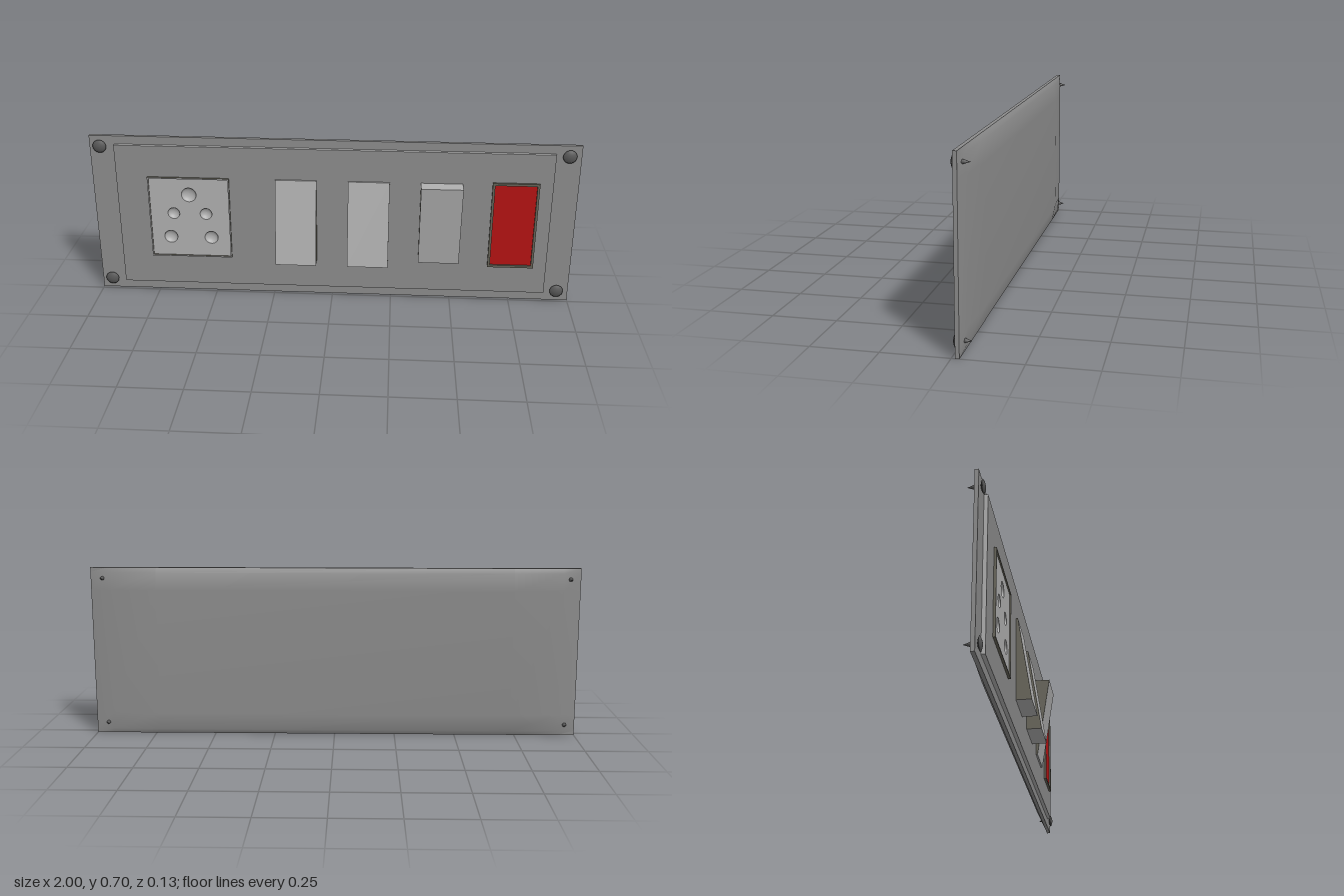
import * as THREE from 'three';

const mat = (color) => new THREE.MeshStandardMaterial({ color });

// Rectangle outline with optional round holes [x, y, r]
function rect(x0, x1, y0, y1, holes = []) {
  const s = new THREE.Shape();
  s.moveTo(x0, y0).lineTo(x1, y0).lineTo(x1, y1).lineTo(x0, y1).closePath();
  for (const [x, y, r] of holes) s.holes.push(new THREE.Path().absarc(x, y, r, 0, Math.PI * 2, true));
  return s;
}

// Rectangular frame of the given width
function frame(x0, x1, y0, y1, w) {
  const s = rect(x0, x1, y0, y1);
  s.holes.push(rect(x0 + w, x1 - w, y0 + w, y1 - w));
  return s;
}

function slab(shape, z0, z1) {
  const g = new THREE.ExtrudeGeometry(shape, { depth: z1 - z0, bevelEnabled: false, curveSegments: 16 });
  return g.translate(0, 0, z0);
}

// Profile of [radius, z] points turned about the z axis
function turned(points, segments = 24) {
  const profile = points.map(([r, z]) => new THREE.Vector2(r, z));
  return new THREE.LatheGeometry(profile, segments).rotateX(Math.PI / 2);
}

// Shallow bulging back: flat middle, rounding off towards the edges
function backGeometry() {
  const rise = [0, 0.48, 1, 1, 0.48, 0];
  const xs = [-1, -0.93, -0.73, 0.73, 0.93, 1];
  const ys = [0, 0.02, 0.09, 0.61, 0.68, 0.7];
  const pos = [], idx = [];
  ys.forEach((y, j) => xs.forEach((x, i) => pos.push(x, y, -0.028 - 0.026 * rise[i] * rise[j])));
  for (let j = 0; j < 5; j++) for (let i = 0; i < 5; i++) {
    const a = j * 6 + i, b = a + 1, c = a + 6, d = a + 7;
    idx.push(a, c, b, b, c, d);
  }
  const g = new THREE.BufferGeometry();
  g.setAttribute('position', new THREE.Float32BufferAttribute(pos, 3));
  g.setIndex(idx);
  g.computeVertexNormals();
  return g;
}

export function createModel() {
  const root = new THREE.Group();
  root.name = 'switchBoard';
  const grey = mat(0x8c8c8c), light = mat(0xb0b0b0), trim = mat(0x656357);
  const steel = mat(0x5a5a5a), red = mat(0xb51212);

  const add = (name, geometry, material, parent = root) => {
    const m = new THREE.Mesh(geometry, material);
    m.name = name;
    parent.add(m);
    return m;
  };

  // Socket holes: x, y, radius
  const holes = [
    [-0.597, 0.453, 0.031],
    [-0.665, 0.368, 0.025], [-0.529, 0.368, 0.025],
    [-0.683, 0.26, 0.028], [-0.511, 0.26, 0.028],
  ];

  // Base plate, bulging back and raised front panel
  add('basePlate', slab(rect(-1, 1, 0, 0.7), -0.028, -0.013), grey);
  add('backShell', backGeometry(), grey);
  add('frontPanel', slab(rect(-0.897, 0.897, 0.04, 0.665, holes), -0.013, 0.002), [grey, light]);

  // Socket: thin rim around a sunken face with bowl-shaped holes
  const socket = new THREE.Group();
  socket.name = 'socket';
  root.add(socket);
  add('socketRim', slab(frame(-0.767, -0.427, 0.17, 0.53, 0.005), 0.002, 0.012), [light, trim], socket);
  add('socketFace', slab(rect(-0.762, -0.432, 0.175, 0.525, holes), 0.002, 0.006), light, socket);
  const bowlMat = mat(0xb0b0b0);
  bowlMat.side = THREE.DoubleSide;
  for (const [x, y, r] of holes) {
    const profile = [];
    for (let i = 0; i <= 6; i++) {
      const a = (i / 6) * Math.PI / 2;
      profile.push([r * Math.sin(a), -0.018 * Math.cos(a)]);
    }
    add('socketHole', turned(profile).translate(x, y, 0.006), bowlMat, socket);
  }

  // Rocker switches: wedges thick at the bottom or at the top
  const rocker = (x0, x1, zBottom, zTop) => {
    const s = new THREE.Shape();
    s.moveTo(0, 0.17).lineTo(zBottom, 0.17).lineTo(zTop, 0.53).lineTo(0, 0.53).closePath();
    const g = new THREE.ExtrudeGeometry(s, { depth: x1 - x0, bevelEnabled: false });
    g.rotateY(-Math.PI / 2).translate(x1, 0, 0);
    add('rockerSwitch', g, [trim, light]);
  };
  rocker(-0.235, -0.065, 0.065, 0.009);
  rocker(0.065, 0.235, 0.065, 0.009);
  rocker(0.362, 0.532, 0.009, 0.065);

  // Indicator lamp: red lens sunk in a thin frame
  add('indicatorFrame', slab(frame(0.652, 0.842, 0.16, 0.54, 0.01), 0, 0.012), trim);
  add('indicatorLens', slab(rect(0.662, 0.832, 0.17, 0.53), 0, 0.004), red);

  // Corner screws: lens-shaped head and pointed shank
  const headProfile = [];
  for (let i = -6; i <= 6; i++) {
    const r = 1 - Math.abs(i) / 6;
    headProfile.push([0.028 * r, -0.0045 + Math.sign(i) * 0.0085 * (1 - r * r)]);
  }
  const shankProfile = [[0, -0.062], [0.003, -0.052], [0.006, -0.044], [0.008, -0.038], [0.008, -0.015]];
  for (const x of [-0.957, 0.951]) for (const y of [0.047, 0.656]) {
    const screw = new THREE.Group();
    screw.name = 'screw';
    screw.position.set(x, y, 0);
    root.add(screw);
    add('screwHead', turned(headProfile), steel, screw);
    add('screwShank', turned(shankProfile, 16), steel, screw);
  }
  return root;
}
